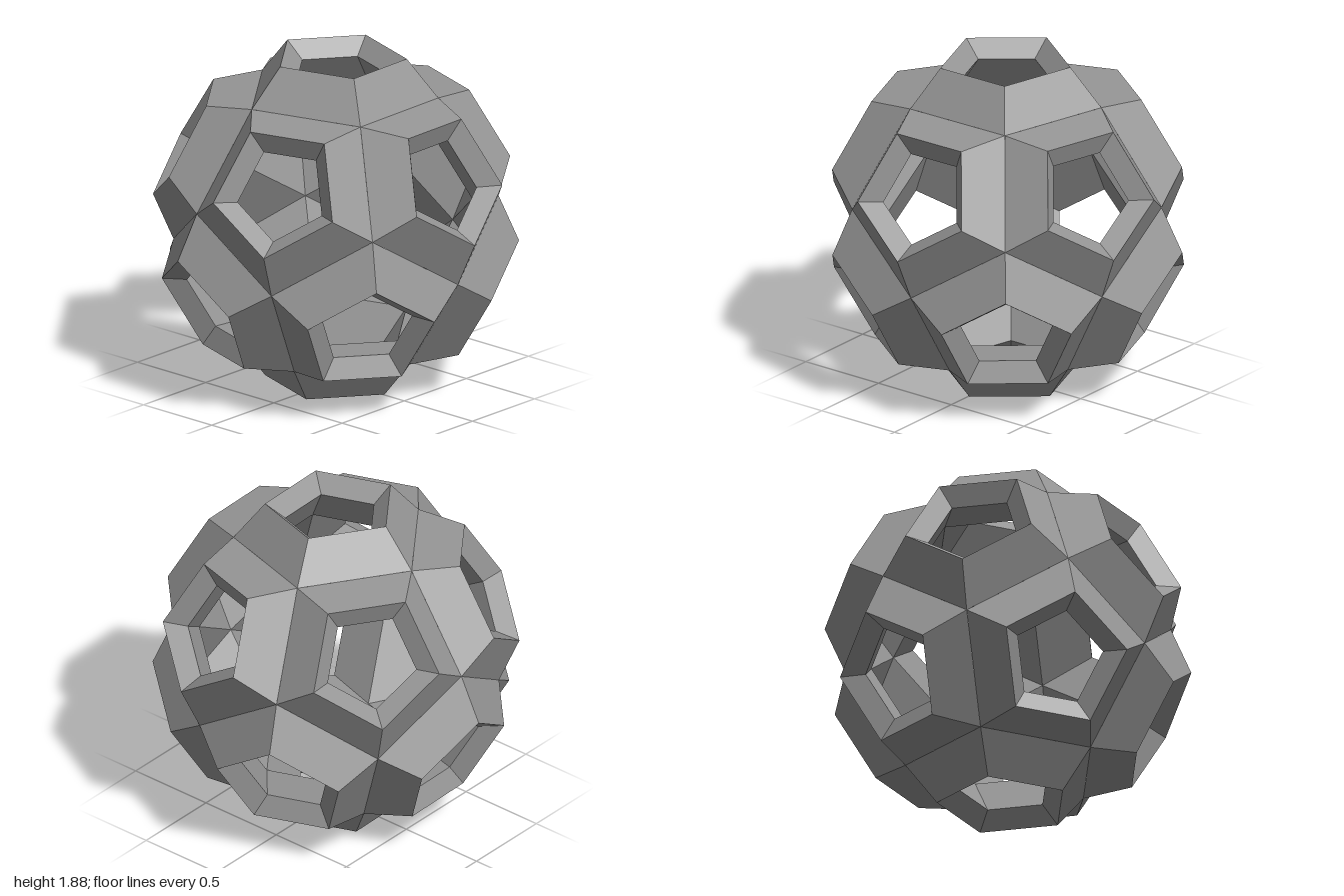
import * as THREE from 'three';

// Thick-walled dodecahedral shell: every face is a raised pentagonal collar with an open centre.
export function createModel() {
  const model = new THREE.Group();
  model.name = 'openDodecahedron';
  const material = new THREE.MeshStandardMaterial({ color: 0x969696, flatShading: true });

  // Collar profile (radius, distance from centre): seam, outer rim, inner rim, inner seam
  const profile = [
    [0.545, 0.7135], [0.37, 0.93], [0.261, 0.841], [0.457, 0.598],
  ].map(([r, h]) => new THREE.Vector2(r, h));
  const collarGeometry = new THREE.LatheGeometry(profile, 5);
  const tilt = Math.atan(2); // angle between neighbouring face normals

  const makeCollar = (name) => {
    const mesh = new THREE.Mesh(collarGeometry, material);
    mesh.name = name;
    return mesh;
  };

  // Half shell: one cap collar and five tilted collars around it
  const makeHalf = (name) => {
    const half = new THREE.Group();
    half.name = name;
    const cap = makeCollar('capCollar');
    cap.rotation.y = Math.PI;
    half.add(cap);
    for (let i = 0; i < 5; i++) {
      const spin = new THREE.Group();
      spin.name = `sideFace${i + 1}`;
      spin.rotation.y = (i * Math.PI * 2) / 5;
      const collar = makeCollar('sideCollar');
      collar.rotation.x = tilt;
      spin.add(collar);
      half.add(spin);
    }
    return half;
  };

  // The lower half is the upper half turned over; the whole shell leans slightly
  const shell = new THREE.Group();
  shell.name = 'shell';
  const lower = makeHalf('lowerHalf');
  lower.rotation.x = Math.PI;
  shell.add(makeHalf('upperHalf'), lower);
  shell.rotation.set(0.022, 0.02, 0);
  shell.position.y = 0.938;
  model.add(shell);
  return model;
}
